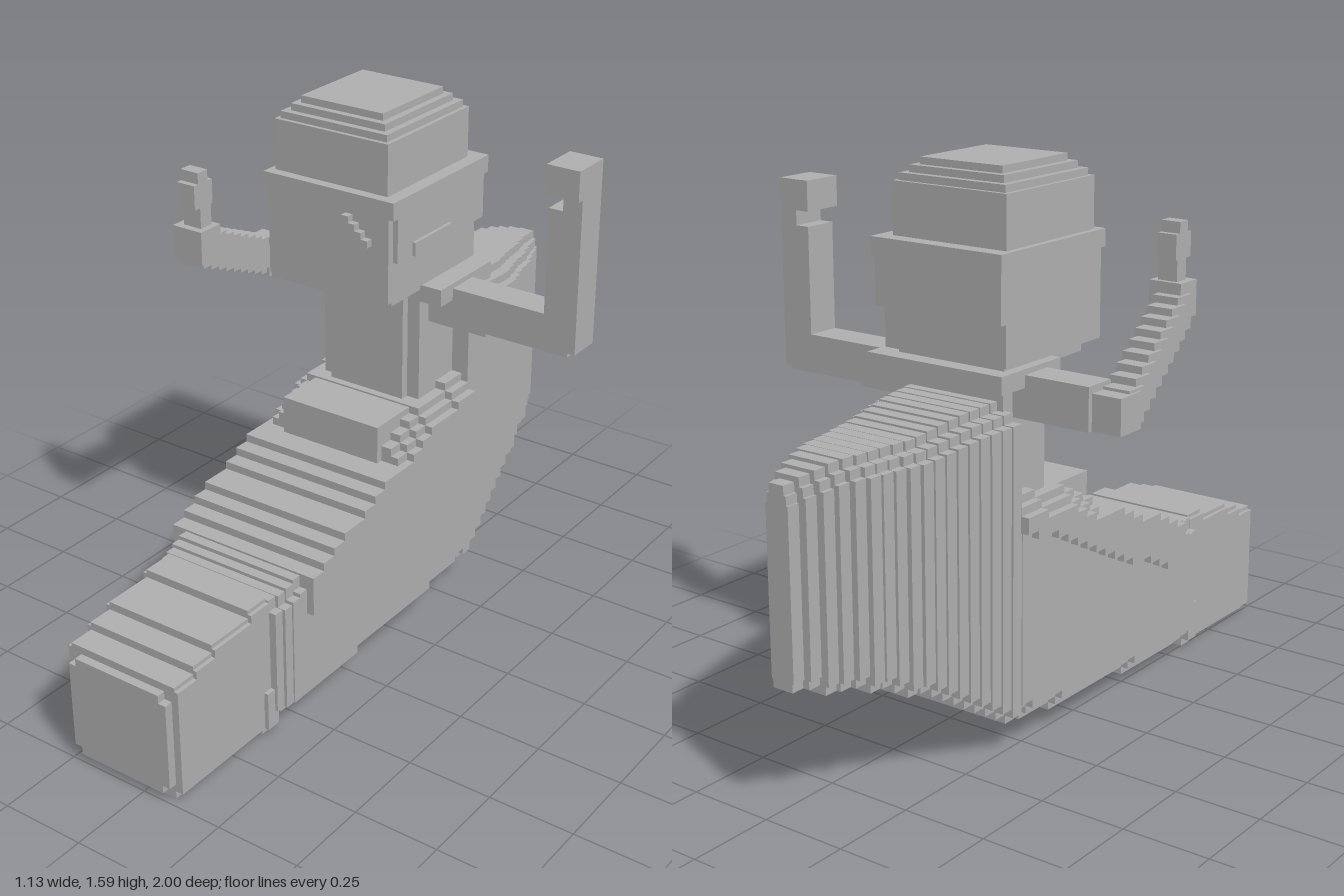
import * as THREE from 'three';

const CX = -0.075;   // centre line of the body
const U = 0.0235;    // size of one block step
const snap = (v) => Math.round(v / U) * U;

// piecewise linear lookup in [[z, value], ...] with z falling
function at(table, z) {
  if (z >= table[0][0]) return table[0][1];
  for (let i = 1; i < table.length; i++) {
    const [za, a] = table[i - 1], [zb, b] = table[i];
    if (z >= zb) return a + ((b - a) * (za - z)) / (za - zb);
  }
  return table[table.length - 1][1];
}

const upper = [[1, 0.345], [0.8, 0.385], [0.7, 0.41], [0.55, 0.42], [0.43, 0.465], [0.3, 0.51],
  [0.17, 0.56], [0.07, 0.6], [0, 0.65], [-0.1, 0.7], [-0.3, 0.73]];
const lower = [[1, 0], [0.6, 0], [0.59, 0.02], [0.26, 0.03], [0.25, 0.045], [-0.15, 0.06], [-0.3, 0.09],
  [-0.38, 0.12], [-0.5, 0.205], [-0.6, 0.26], [-0.7, 0.3], [-0.8, 0.345], [-0.9, 0.36], [-1, 0.375]];
const seam = [[0.5, 0.31], [0.2, 0.41], [0, 0.5], [-0.1, 0.56], [-0.2, 0.6], [-0.31, 0.63]];
const sternTop = [[-0.3, 0.985], [-0.45, 0.975], [-0.62, 0.95], [-0.85, 0.945], [-0.95, 0.92], [-1, 0.9]];
const sternHalf = [[-0.31, 0.222], [-0.4, 0.21], [-0.55, 0.185], [-0.65, 0.17], [-0.72, 0.145],
  [-0.8, 0.13], [-0.86, 0.1], [-0.92, 0.075], [-0.97, 0.04], [-1, 0.03]];

export function createModel() {
  const model = new THREE.Group();
  const grey = new THREE.MeshStandardMaterial({ color: 0xb0b0b0 });
  grey.name = 'plain grey';

  function group(name) {
    const g = new THREE.Group();
    g.name = name;
    model.add(g);
    return g;
  }
  function box(parent, name, x0, x1, y0, y1, z0, z1) {
    const m = new THREE.Mesh(new THREE.BoxGeometry(x1 - x0, y1 - y0, z1 - z0), grey);
    m.position.set((x0 + x1) / 2, (y0 + y1) / 2, (z0 + z1) / 2);
    m.name = name;
    parent.add(m);
  }
  // slab across the body, its corners notched by [inset, height] steps
  function slab(parent, name, half, y0, y1, z0, z1, topSteps, baseSteps) {
    const right = [];
    let w = half - baseSteps.reduce((s, n) => s + n[0], 0), y = y0;
    right.push([w, y]);
    for (const [inset, rise] of baseSteps) {
      y += rise; right.push([w, y]);
      w += inset; right.push([w, y]);
    }
    y = y1 - topSteps.reduce((s, n) => s + n[1], 0);
    right.push([w, y]);
    for (const [inset, rise] of topSteps) {
      w -= inset; right.push([w, y]);
      y += rise; right.push([w, y]);
    }
    const left = right.map(([a, b]) => [-a, b]).reverse();
    const shape = new THREE.Shape([...right, ...left].map(([a, b]) => new THREE.Vector2(a, b)));
    const m = new THREE.Mesh(new THREE.ExtrudeGeometry(shape, { depth: z1 - z0, bevelEnabled: false }), grey);
    m.position.set(CX, 0, z0);
    m.name = name;
    parent.add(m);
  }
  // row of slabs from zFront back to zBack
  function row(parent, name, zFront, zBack, count, half, bottom, top, topSteps, baseSteps) {
    const d = (zFront - zBack) / count;
    for (let i = 0; i < count; i++) {
      const z = zFront - i * d, mid = z - d / 2;
      slab(parent, name, half(mid), bottom(mid), top(mid), z - d, z, topSteps, baseSteps);
    }
  }
  const bottom = (z) => snap(at(lower, z));
  const notch = [[U, U]];

  // narrow front with a rounded nose plate
  const bow = group('bow');
  slab(bow, 'nosePlate', 0.165, U, 0.33, 0.975, 1, notch, notch);
  row(bow, 'bowSlab', 0.975, 0.6, 5, () => 0.187, bottom, (z) => snap(at(upper, z)), [[U / 2, U / 2]], notch);

  // lower hull under the stepped cover
  const hull = group('hull');
  row(hull, 'hullEdge', 0.63, 0.585, 1, () => 0.2, bottom, () => 0.14, [], notch);
  row(hull, 'hullEdge', 0.6, 0.48, 4, (z) => 0.222 - Math.max(0, z - 0.54) * 0.3, bottom,
    (z) => at(upper, z), [[U, U * 1.5]], [[U, U], [U, U]]);
  row(hull, 'hullSlab', 0.48, -0.31, 17, () => 0.222, bottom, (z) => at(seam, z) + 0.01, [], [[U, U], [U, U]]);

  // wider stepped cover sloping up to the lap
  const cover = group('cover');
  row(cover, 'coverStep', 0.48, 0.05, 9, () => 0.245, (z) => snap(at(seam, z)),
    (z) => snap(at(upper, z)), [], []);
  row(cover, 'coverStep', 0.05, -0.315, 8, () => 0.245, (z) => snap(at(seam, z)),
    (z) => snap(at(upper, z)), [[U, U], [U, U]], []);

  // tall stern narrowing to the back
  const stern = group('stern');
  row(stern, 'sternSlab', -0.31, -1, 18, (z) => at(sternHalf, z), bottom, (z) => at(sternTop, z), [], []);
  stern.clear();
  const n = 18, d = 0.69 / n;
  for (let i = 0; i < n; i++) {
    const z = -0.31 - i * d, mid = z - d / 2, h = at(sternHalf, mid);
    slab(stern, 'sternSlab', h, bottom(mid), at(sternTop, mid), z - d, z,
      [[h * 0.14, 0.025], [h * 0.2, 0.025]], [[h * 0.12, U]]);
  }

  // lap and torso
  const torso = group('torso');
  box(torso, 'lap', -0.24, 0.09, 0.55, 0.7, -0.12, 0.07);
  box(torso, 'chest', -0.2, 0.05, 0.58, 1.08, -0.3, -0.11);
  box(torso, 'torsoSides', -0.24, 0.09, 0.58, 1.08, -0.32, -0.135);
  box(torso, 'collar', -0.28, 0.17, 1.02, 1.07, -0.38, -0.12);

  // head with brim, cap and stepped crown
  const head = group('head');
  box(head, 'chin', -0.25, 0.1, 1.055, 1.1, -0.33, 0.02);
  box(head, 'face', -0.275, 0.125, 1.085, 1.36, -0.355, 0.072);
  box(head, 'backOfHead', -0.275, 0.14, 1.2, 1.36, -0.375, 0.05);
  box(head, 'brim', -0.28, 0.15, 1.335, 1.385, -0.38, 0.085);
  box(head, 'cap', -0.262, 0.11, 1.38, 1.53, -0.335, 0.055);
  for (let i = 0; i < 3; i++) {
    const s = 0.012 + i * 0.02;
    box(head, 'crownStep', -0.262 + s, 0.11 - s, 1.52, 1.55 + i * 0.02, -0.335 + s, 0.055 - s);
  }
  for (let i = 0; i < 4; i++) {
    box(head, 'faceMark', -0.015 + i * 0.021, 0.008 + i * 0.021, 1.3 - i * 0.019, 1.32 - i * 0.019, 0.07, 0.093);
  }
  box(head, 'ear', 0.12, 0.15, 1.2, 1.24, -0.2, -0.02);

  // left arm bent straight up
  const leftArm = group('leftArm');
  box(leftArm, 'upperArm', 0.08, 0.28, 0.935, 1.055, -0.28, -0.18);
  box(leftArm, 'elbow', 0.27, 0.54, 0.945, 1.055, -0.28, -0.18);
  box(leftArm, 'forearm', 0.462, 0.562, 0.957, 1.36, -0.28, -0.18);
  box(leftArm, 'wrist', 0.505, 0.562, 1.35, 1.41, -0.28, -0.18);
  box(leftArm, 'hand', 0.462, 0.562, 1.402, 1.488, -0.28, -0.158);

  // right arm reaching forward and up in steps
  const rightArm = group('rightArm');
  box(rightArm, 'upperArm', -0.48, -0.23, 0.935, 1.055, -0.28, -0.18);
  box(rightArm, 'elbow', -0.568, -0.47, 0.935, 1.035, -0.265, -0.17);
  for (let i = 0; i < 9; i++) {
    const t = i / 8, x = -0.52 + 0.085 * t, y = 0.995 + 0.165 * t, z = -0.18 + 0.36 * t;
    box(rightArm, 'forearmStep', x - 0.04, x + 0.04, y - 0.048, y + 0.048, z - 0.035, z + 0.035);
  }
  box(rightArm, 'hand', -0.465, -0.365, 1.14, 1.24, 0.175, 0.257);
  box(rightArm, 'finger', -0.443, -0.383, 1.23, 1.31, 0.19, 0.235);
  box(rightArm, 'fingerMiddle', -0.443, -0.383, 1.3, 1.37, 0.182, 0.257);
  box(rightArm, 'fingerTip', -0.443, -0.383, 1.36, 1.402, 0.2, 0.24);

  return model;
}
